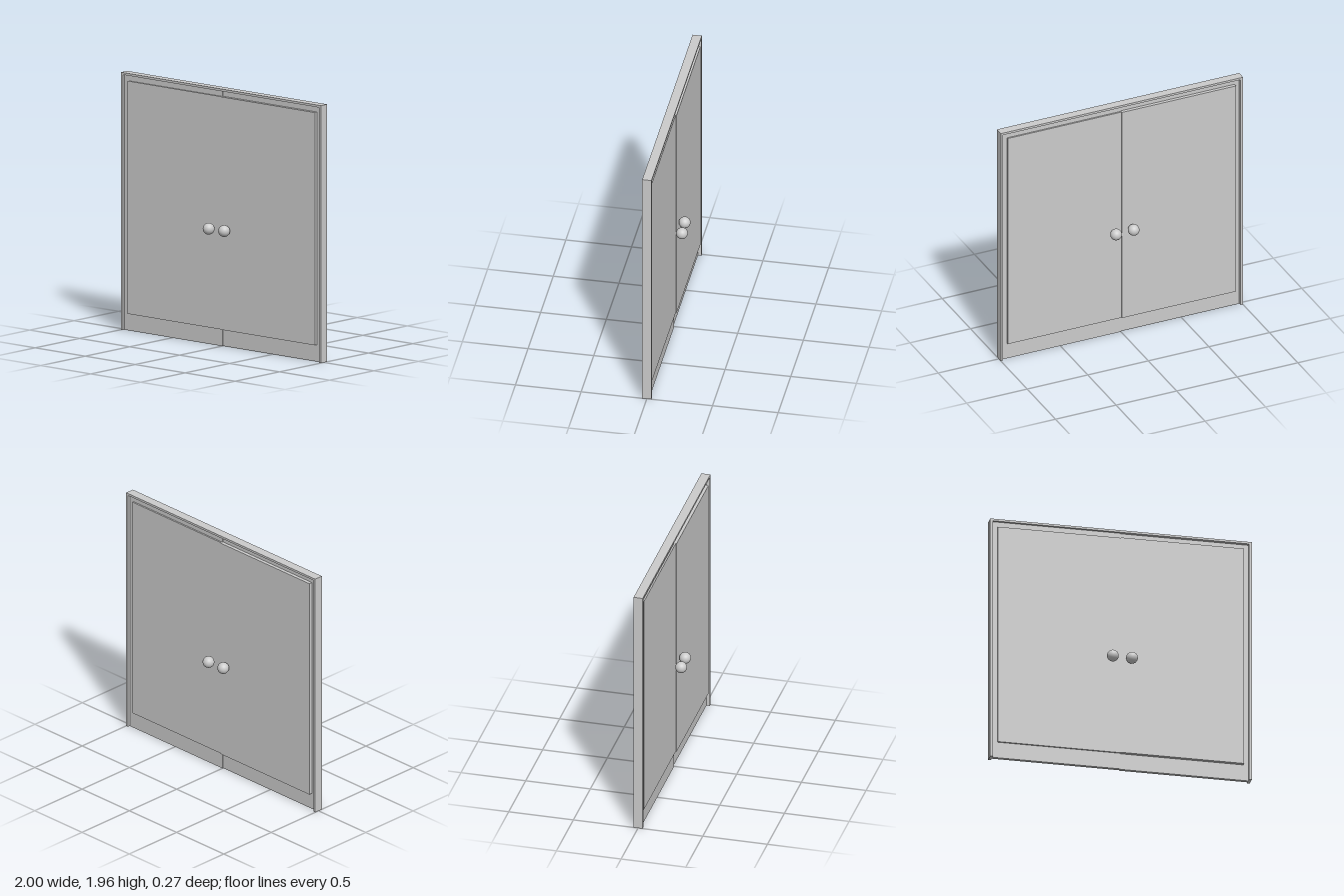
import * as THREE from 'three';

const material = new THREE.MeshStandardMaterial({ color: 0xcccccc });

// Box given by its min and max corners
function block(name, [x0, y0, z0], [x1, y1, z1]) {
  const mesh = new THREE.Mesh(new THREE.BoxGeometry(x1 - x0, y1 - y0, z1 - z0), material);
  mesh.name = name;
  mesh.position.set((x0 + x1) / 2, (y0 + y1) / 2, (z0 + z1) / 2);
  return mesh;
}

// One door leaf with its half of the frame, on the -x side
function doorHalf(name) {
  const half = new THREE.Group();
  half.name = name;

  // Frame: side jamb and half of the top rail, as one L-shaped extrusion
  const outline = new THREE.Shape();
  [[-1, 0], [-0.98, 0], [-0.98, 1.943], [0, 1.943], [0, 1.96], [-1, 1.96]]
    .forEach(([x, y], i) => (i ? outline.lineTo(x, y) : outline.moveTo(x, y)));
  const frameGeometry = new THREE.ExtrudeGeometry(outline, { depth: 0.07, bevelEnabled: false });
  frameGeometry.translate(0, 0, -0.035);
  const frame = new THREE.Mesh(frameGeometry, material);
  frame.name = 'frame';
  half.add(frame);

  // Thin recessed slab and the thick raised panel through it
  half.add(block('slab', [-0.98, 0, -0.009], [0, 1.943, 0.017]));
  half.add(block('panel', [-0.94, 0.128, -0.036], [0, 1.9, 0.029]));

  // Round knobs on both faces
  const knobGeometry = new THREE.SphereGeometry(0.044, 32, 20);
  for (const [knobName, z] of [['frontKnob', 0.09], ['backKnob', -0.082]]) {
    const knob = new THREE.Mesh(knobGeometry, material);
    knob.name = knobName;
    knob.position.set(-0.074, 0.894, z);
    half.add(knob);
  }
  return half;
}

export function createModel() {
  const model = new THREE.Group();
  model.name = 'doubleDoor';

  // The second leaf is the first turned half way round
  const leftLeaf = doorHalf('leftDoor');
  leftLeaf.rotation.y = Math.PI;
  model.add(doorHalf('rightDoor'), leftLeaf);
  return model;
}
